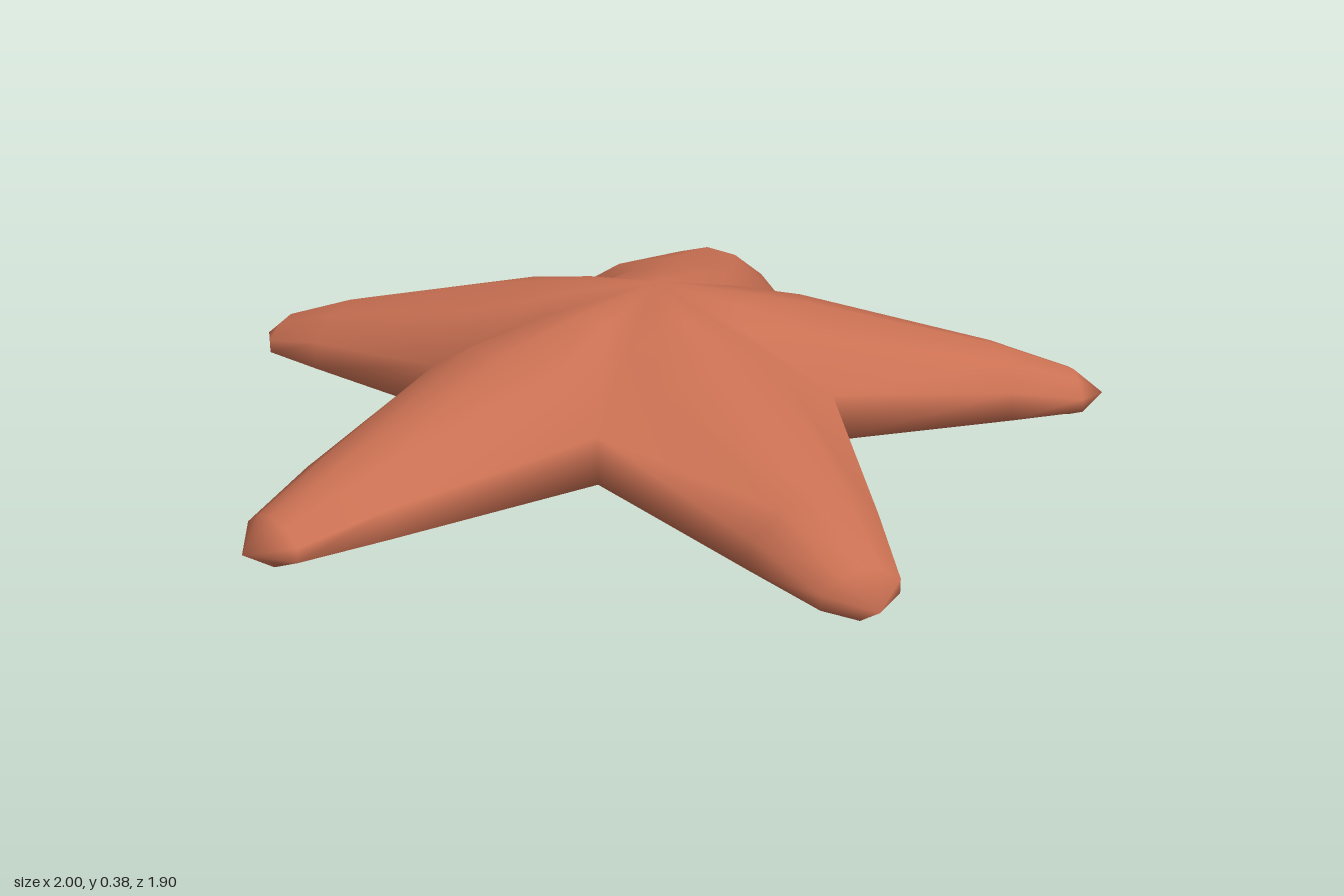
import * as THREE from 'three';
import { mergeVertices } from 'three/addons/utils/BufferGeometryUtils.js';

// Stations along an arm: distance, half width, ridge, upper edge, lower edge, underside
const STATIONS = [
  [0, 0, 0.375, 0.375, 0.02, 0.02],
  [0.19, 0.138, 0.337, 0.295, 0.055, 0.015],
  [0.372, 0.27, 0.295, 0.185, 0.08, 0.01],
  [0.8, 0.139, 0.178, 0.115, 0.05, 0.003],
  [0.98, 0.085, 0.11, 0.07, 0.04, 0],
  [1.051, 0, 0.05, 0.05, 0.05, 0.05],
];
const NOTCH = 2; // station where neighbouring arms part
const CENTRE_Z = -0.106;
const ACROSS = [-1, -0.5, 0, 0.5, 1];

// Closed cross-section of an arm: over the top, then back along the underside
function section([r, w, ridge, high, low, under], angle) {
  const lean = Math.max(0, 1 - r / 0.372); // the peak sits a little off centre
  const place = (u, y) => new THREE.Vector3(u * w, y, r)
    .applyAxisAngle(new THREE.Vector3(0, 1, 0), angle)
    .add(new THREE.Vector3(0.01 * lean, 0, CENTRE_Z + 0.05 * lean));
  const top = ACROSS.map(u => place(u, ridge - (ridge - high) * u * u));
  const bottom = ACROSS.map(u => place(-u, under + (low - under) * Math.abs(u)));
  return [...top, ...bottom];
}

function addArm(positions, angle) {
  const rings = STATIONS.map(s => section(s, angle));
  const n = rings[0].length;
  const tri = (...corners) => corners.forEach(p => positions.push(p.x, p.y, p.z));
  for (let i = 0; i < rings.length - 1; i++) {
    for (let j = 0; j < n; j++) {
      const isWall = j === 4 || j === 9;
      if (isWall && i < NOTCH) continue; // arms join here, so no side wall
      const k = (j + 1) % n;
      const a = rings[i][j], b = rings[i + 1][j], c = rings[i + 1][k], d = rings[i][k];
      if (i < rings.length - 2) tri(a, b, c);
      if (i > 0) tri(a, c, d);
      if (i === rings.length - 2 && i === 0) tri(a, b, c);
    }
  }
}

export function createModel() {
  const coral = new THREE.MeshStandardMaterial({ color: 0xcb7153 });
  coral.name = 'coral';

  // Five arms welded into one smooth skin
  const positions = [];
  for (let i = 0; i < 5; i++) addArm(positions, i * Math.PI * 2 / 5);
  let skin = new THREE.BufferGeometry();
  skin.setAttribute('position', new THREE.Float32BufferAttribute(positions, 3));
  skin = mergeVertices(skin, 1e-3);
  skin.computeVertexNormals();

  const body = new THREE.Mesh(skin, coral);
  body.name = 'starfishBody';
  const group = new THREE.Group();
  group.name = 'starfish';
  group.add(body);
  return group;
}
